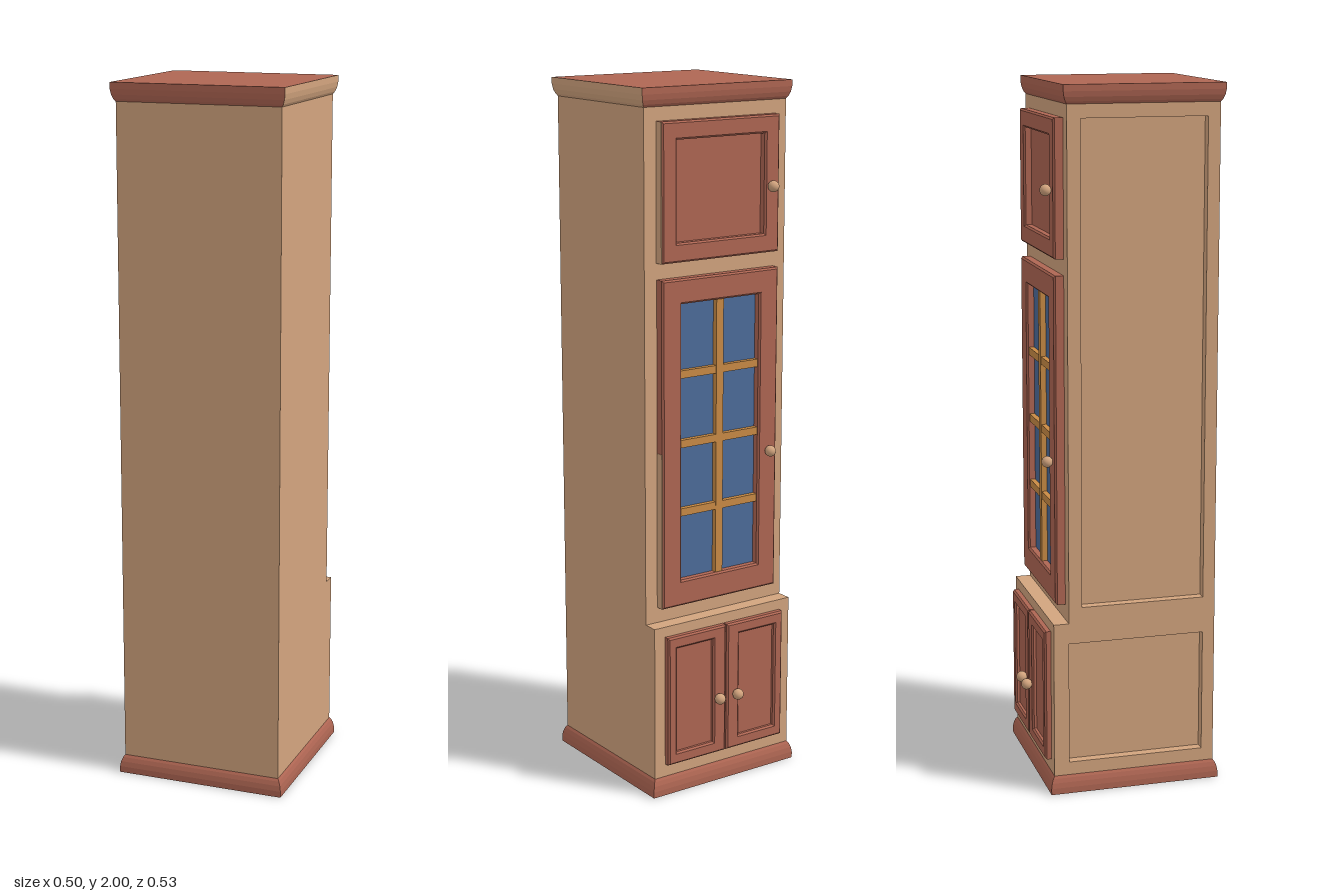
import * as THREE from 'three';

const mat = (name, color) => {
  const m = new THREE.MeshStandardMaterial({ color, side: THREE.DoubleSide });
  m.name = name;
  return m;
};

export function createModel() {
  const oak = mat('light oak', 0xd2a47e);
  const red = mat('red mahogany', 0xaf6653);
  const blue = mat('blue glass', 0x4d6c9a);
  const gold = mat('golden wood', 0xc98b45);
  const root = new THREE.Group();
  root.name = 'tallCabinet';

  const add = (name, geo, material, x = 0, y = 0, z = 0, parent = root) => {
    const m = new THREE.Mesh(geo, material);
    m.name = name;
    m.position.set(x, y, z);
    parent.add(m);
    return m;
  };
  const box = (name, material, x0, x1, y0, y1, z0, z1, parent) =>
    add(name, new THREE.BoxGeometry(x1 - x0, y1 - y0, z1 - z0), material,
      (x0 + x1) / 2, (y0 + y1) / 2, (z0 + z1) / 2, parent);
  const rect = (Type, x0, x1, y0, y1) => new Type([
    [x0, y0], [x1, y0], [x1, y1], [x0, y1]].map(p => new THREE.Vector2(...p)));

  // Main dimensions
  const W = 0.237, BACK = 0.255, UP = -0.175, LOW = -0.219, STEP = 0.505, TOP = 1.955;

  // Hollow carcass, open underneath: two stepped side walls
  const outline = () => new THREE.Shape([
    [BACK, 0.03], [BACK, TOP], [UP, TOP], [UP, STEP], [LOW, STEP], [LOW, 0.03],
  ].map(p => new THREE.Vector2(...p)));
  const wall = (name, shape, x) =>
    add(name, new THREE.ShapeGeometry(shape).rotateY(-Math.PI / 2), oak, x);
  wall('plainSide', outline(), W);

  // Other side wall with two sunken panels
  const panelled = outline();
  const D = 0.028;
  for (const [z0, z1, y0, y1] of [[-0.137, 0.22, 0.55, 1.91], [-0.175, 0.22, 0.09, 0.445]]) {
    panelled.holes.push(rect(THREE.Path, z0, z1, y0, y1));
    const g = new THREE.BoxGeometry(D, y1 - y0, z1 - z0);
    const idx = Array.from(g.index.array);
    idx.splice(6, 6); // leave the outer face open
    g.setIndex(idx);
    g.clearGroups();
    add('sunkenSidePanel', g, oak, -W + D / 2, (y0 + y1) / 2, (z0 + z1) / 2);
  }
  wall('panelledSide', panelled, -W);

  // Flat walls across the width, and the ledge above the lower cupboard
  const plane = (name, y0, y1, z, turn) => {
    const g = new THREE.PlaneGeometry(2 * W, y1 - y0);
    if (turn) g.rotateY(Math.PI);
    add(name, g, oak, 0, (y0 + y1) / 2, z);
  };
  plane('plainWall', 0.03, TOP, BACK, false);
  plane('upperFace', STEP, TOP, UP, true);
  plane('lowerFace', 0.03, STEP, LOW, true);
  add('ledge', new THREE.PlaneGeometry(2 * W, UP - LOW).rotateX(-Math.PI / 2), oak,
    0, STEP, (UP + LOW) / 2);

  // Moulding lofted through rectangles; profile is [outward offset, y], rising
  const moulding = (name, front, profile, materials) => {
    const pos = [], g = new THREE.BufferGeometry();
    const corner = ([o, y], i) => [
      [-W - o, y, BACK + o], [W + o, y, BACK + o],
      [W + o, y, front - o], [-W - o, y, front - o]][i % 4];
    for (let s = 0; s < 4; s++) {
      const start = pos.length / 3;
      for (let k = 0; k < profile.length - 1; k++) {
        const a = corner(profile[k], s), b = corner(profile[k], s + 1);
        const c = corner(profile[k + 1], s + 1), d = corner(profile[k + 1], s);
        pos.push(...a, ...b, ...c, ...a, ...c, ...d);
      }
      g.addGroup(start, pos.length / 3 - start, s);
    }
    g.setAttribute('position', new THREE.Float32BufferAttribute(pos, 3));
    g.computeVertexNormals();
    add(name, g, materials);
  };
  const R = 0.012;
  moulding('baseMoulding', LOW, [[R, 0], [R, 0.018], [0.0095, 0.033], [0.005, 0.045], [0, 0.052]],
    [red, red, red, red]);
  moulding('crownMoulding', UP, [[0, 1.948], [0.005, 1.955], [0.0095, 1.967], [R, 1.982], [R, 2]],
    [red, oak, red, red]);
  add('crownTop', new THREE.PlaneGeometry(2 * (W + R), BACK - UP + 2 * R).rotateX(-Math.PI / 2),
    red, 0, 2, (BACK + UP) / 2);

  // Door: bevelled frame with an opening, and an infill set back inside it
  const door = (name, x0, x1, y0, y1, hole, face, front, fill) => {
    const g = new THREE.Group();
    g.name = name;
    root.add(g);
    const b = 0.005, [hx0, hx1, hy0, hy1] = hole;
    const shape = rect(THREE.Shape, x0 + b, x1 - b, y0 + b, y1 - b);
    shape.holes.push(rect(THREE.Path, hx0 - b, hx1 + b, hy0 - b, hy1 + b));
    const geo = new THREE.ExtrudeGeometry(shape, {
      depth: face - front, bevelEnabled: true, bevelSize: b, bevelThickness: b, bevelSegments: 1 });
    add('doorFrame', geo, red, 0, 0, front + b, g);
    box('doorInfill', fill, hx0 - b, hx1 + b, hy0 - b, hy1 + b, face - 0.006, face + 0.004, g);
    return g;
  };
  const knob = (parent, x, y, z) => {
    add('knob', new THREE.SphereGeometry(0.016, 20, 14), oak, x, y, z, parent);
    add('knobStem', new THREE.CylinderGeometry(0.006, 0.006, 0.02, 12).rotateX(Math.PI / 2),
      oak, x, y, z + 0.014, parent);
  };

  // Top cupboard door
  const upFront = -0.203;
  const topDoor = door('topDoor', -0.197, 0.197, 1.53, 1.91,
    [-0.147, 0.147, 1.583, 1.86], UP, upFront, red);
  knob(topDoor, -0.165, 1.715, -0.217);
  box('doorEdge', oak, 0.196, 0.198, 1.53, 1.91, upFront + 0.004, UP, topDoor);

  // Tall glazed door with glazing bars
  const glassDoor = door('glassDoor', -0.197, 0.197, 0.55, 1.485,
    [-0.132, 0.132, 0.625, 1.415], UP, upFront, blue);
  knob(glassDoor, -0.165, 0.96, -0.217);
  box('doorEdge', oak, 0.196, 0.198, 0.55, 1.0, upFront + 0.004, UP, glassDoor);
  box('uprightBar', gold, -0.012, 0.012, 0.625, 1.415, -0.197, UP, glassDoor);
  for (let i = 1; i < 4; i++) {
    const y = 0.625 + 0.1975 * i;
    box('crossBar', gold, -0.132, 0.132, y - 0.011, y + 0.011, -0.196, UP, glassDoor);
  }

  // Pair of lower cupboard doors
  for (const s of [-1, 1]) {
    const span = (a, b) => [Math.min(s * a, s * b), Math.max(s * a, s * b)];
    const d = door('lowerDoor', ...span(0.002, 0.202), 0.09, 0.475,
      [...span(0.046, 0.172), 0.125, 0.44], LOW, -0.2375, red);
    knob(d, s * 0.032, 0.26, -0.251);
  }
  return root;
}
